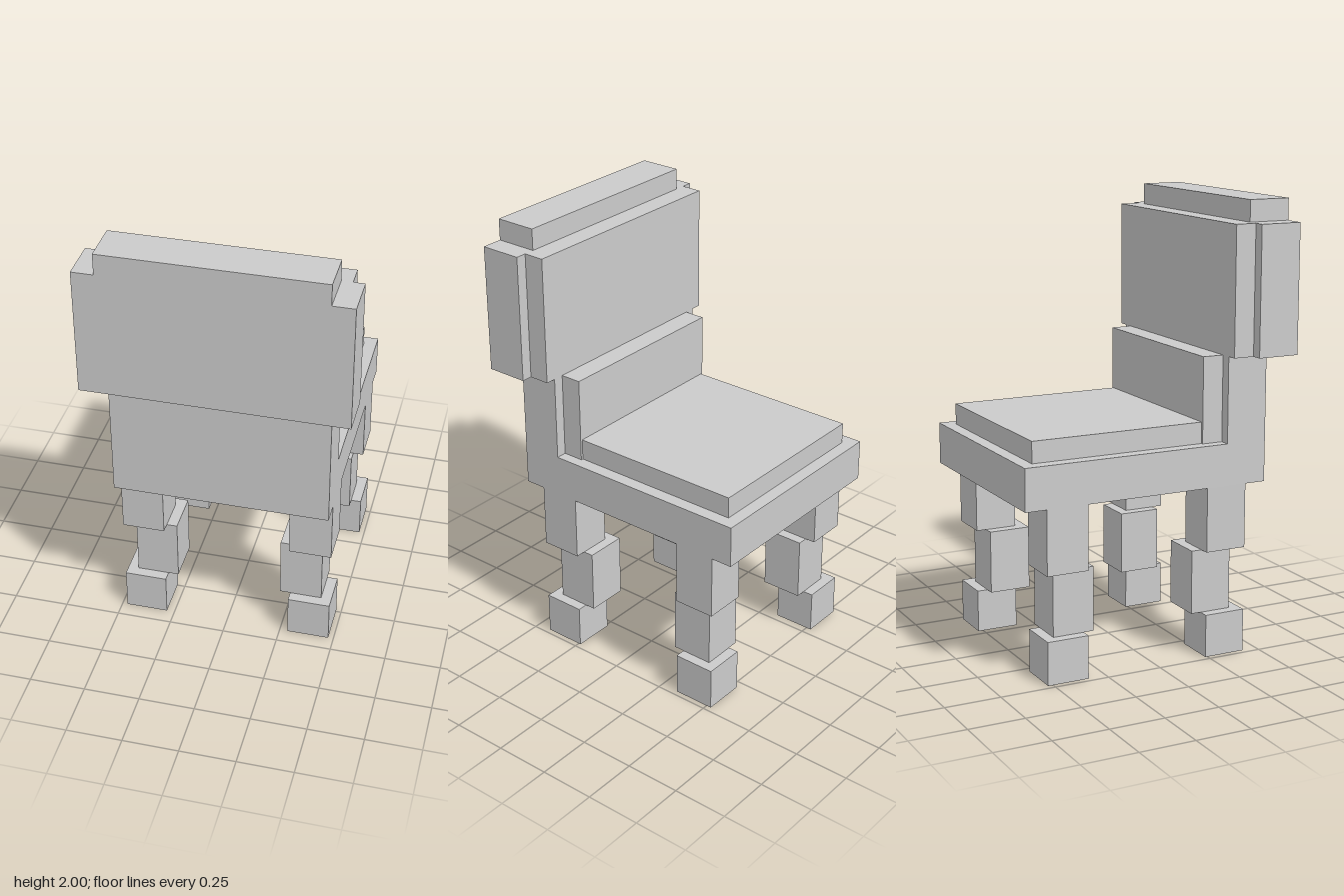
import * as THREE from 'three';

const material = new THREE.MeshStandardMaterial({ color: 0xcccccc, flatShading: true });

// Box spanning the given minimum and maximum on each axis
function block(name, [x0, x1], [y0, y1], [z0, z1]) {
  const mesh = new THREE.Mesh(new THREE.BoxGeometry(x1 - x0, y1 - y0, z1 - z0), material);
  mesh.position.set((x0 + x1) / 2, (y0 + y1) / 2, (z0 + z1) / 2);
  mesh.name = name;
  return mesh;
}

// Box centred on x = 0
const centred = (name, halfWidth, y, z) => block(name, [-halfWidth, halfWidth], y, z);

// Three stacked blocks, the middle one stepped towards the chair's centre
function leg(name, sideX, sideZ) {
  const group = new THREE.Group();
  group.name = name;
  const span = (side, a, b) => (side > 0 ? [a, b] : [-b, -a]);
  const nearZ = sideZ > 0 ? 0.24 : 0.333;
  const segment = (part, y, inset) => group.add(block(part,
    span(sideX, 0.286 - inset, 0.476 - inset), y,
    span(sideZ, nearZ - inset, nearZ + 0.19 - inset)));
  segment('upperLeg', [0.48, 0.768], 0);
  segment('middleLeg', [0.193, 0.48], 0.047);
  segment('foot', [0, 0.193], 0);
  return group;
}

export function createModel() {
  const chair = new THREE.Group();
  chair.name = 'chair';

  // Seat and cushion
  chair.add(
    centred('seat', 0.476, [0.768, 0.955], [-0.62, 0.336]),
    centred('seatCushion', 0.418, [0.955, 1.05], [-0.562, 0.24]),
  );

  // Lower and upper backrest, each with a pad facing the sitter
  chair.add(
    centred('lowerBack', 0.476, [0.768, 1.337], [0.336, 0.525]),
    centred('lowerBackPad', 0.428, [0.955, 1.337], [0.24, 0.336]),
    centred('upperBack', 0.572, [1.337, 1.905], [0.43, 0.62]),
    centred('upperBackPad', 0.523, [1.337, 1.905], [0.336, 0.43]),
    centred('topRail', 0.476, [1.905, 2], [0.43, 0.62]),
  );

  // Legs; the backrest stands on the +z side
  for (const [sx, xName] of [[1, 'Left'], [-1, 'Right']]) {
    for (const [sz, zName] of [[1, 'backrest'], [-1, 'seatEdge']]) {
      chair.add(leg(`${zName}${xName}Leg`, sx, sz));
    }
  }
  return chair;
}
